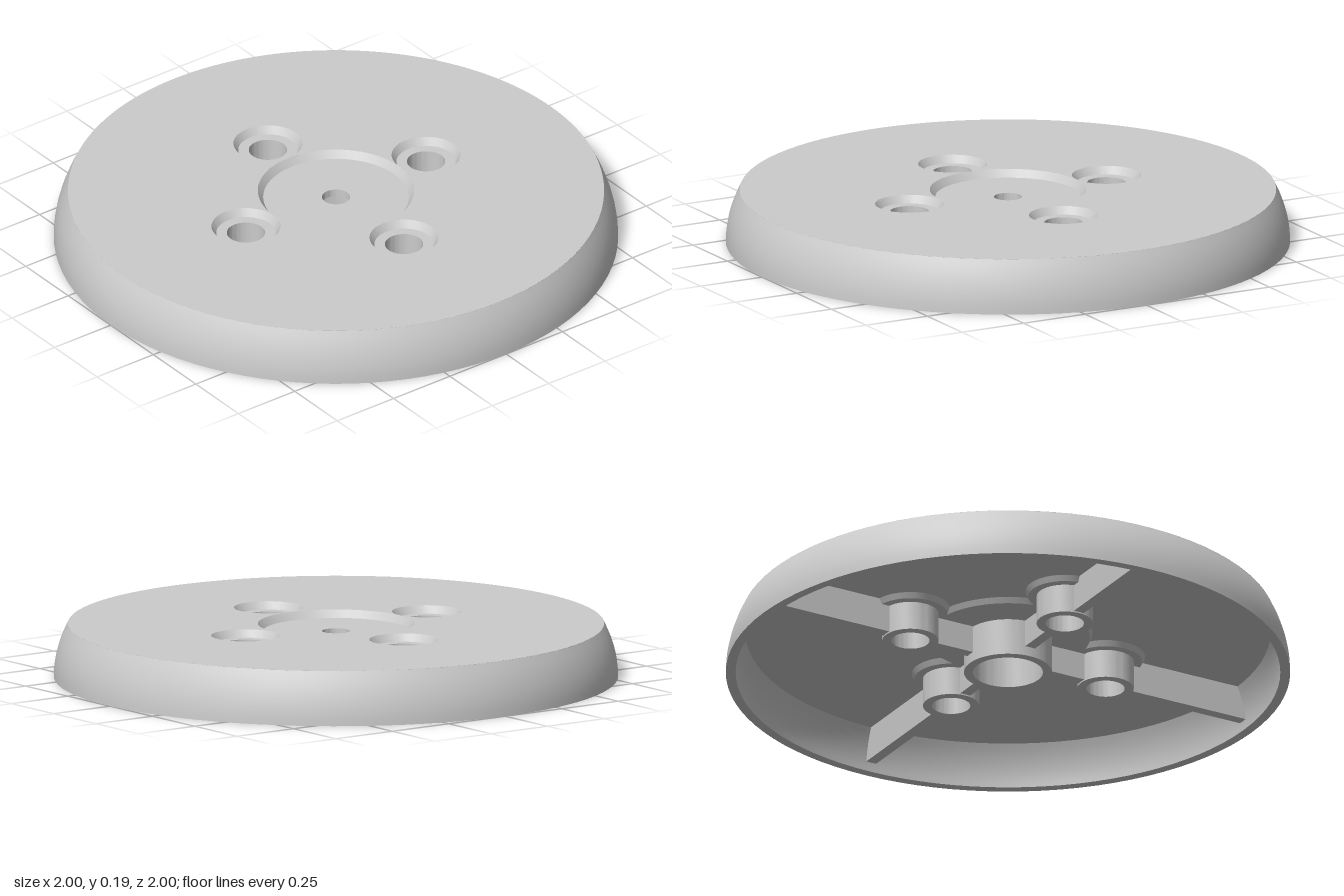
import * as THREE from 'three';
import { toCreasedNormals } from 'three/addons/utils/BufferGeometryUtils.js';

const TOP = 0.19, CEILING = 0.155, BOLT_R = 0.4;

export function createModel() {
  const model = new THREE.Group();
  model.name = 'hubDisc';
  const grey = new THREE.MeshStandardMaterial({ color: 0xcccccc });
  grey.name = 'light grey';

  const add = (name, geometry, parent = model) => {
    const mesh = new THREE.Mesh(geometry, grey);
    mesh.name = name;
    parent.add(mesh);
    return mesh;
  };
  const lathe = (points, segments) => toCreasedNormals(
    new THREE.LatheGeometry(points.map(([r, y]) => new THREE.Vector2(r, y)), segments), 0.4);

  // Curved outer wall: inside face downwards, bottom lip, outside face upwards
  const skirt = [];
  const steps = 8;
  for (let i = steps; i >= 0; i--) {
    const t = i / steps;
    skirt.push([0.965 - 0.035 * t * t, CEILING * t]);
  }
  for (let i = 0; i <= steps; i++) {
    const t = i / steps;
    skirt.push([1 - 0.05 * t * t, TOP * t]);
  }
  add('outerWall', lathe(skirt, 96));

  // Top plate pierced for the central recess and four bolt seats
  const disc = new THREE.Shape().absarc(0, 0, 0.95, 0, Math.PI * 2);
  const cut = (x, y, r) => disc.holes.push(new THREE.Path().absarc(x, y, r, 0, Math.PI * 2, true));
  cut(0, 0, 0.277);
  for (let i = 0; i < 4; i++) {
    const a = i * Math.PI / 2;
    cut(BOLT_R * Math.cos(a), BOLT_R * Math.sin(a), 0.122);
  }
  const plate = new THREE.ExtrudeGeometry(disc, { depth: TOP - CEILING, bevelEnabled: false, curveSegments: 96 });
  plate.rotateX(-Math.PI / 2).translate(0, CEILING, 0);
  add('topPlate', plate);

  // Central recess with its small hole and the hub tube underneath
  add('centralHub', lathe([
    [0.277, TOP], [0.258, 0.163], [0.05, 0.163], [0.05, 0.135], [0.124, 0.135],
    [0.124, 0], [0.156, 0], [0.156, 0.135], [0.29, 0.135], [0.3, CEILING],
  ], 96));

  // Bolt seats with tubular bosses, and the ribs that join them to hub and wall
  const bossGeometry = lathe([
    [0.122, TOP], [0.105, 0.163], [0.068, 0.163], [0.068, 0.03],
    [0.1, 0.03], [0.1, 0.135], [0.13, 0.135], [0.14, CEILING],
  ], 64);
  const ribGeometry = (corners) => new THREE.ExtrudeGeometry(
    new THREE.Shape(corners.map(([x, y]) => new THREE.Vector2(x, y))),
    { depth: 0.04, bevelEnabled: false }).translate(0, 0, -0.02);
  const innerRib = ribGeometry([[0.145, 0.035], [0.315, 0.035], [0.315, 0.158], [0.145, 0.158]]);
  const outerRib = ribGeometry([[0.485, 0.035], [0.975, 0.035], [0.94, 0.158], [0.485, 0.158]]);
  for (let i = 0; i < 4; i++) {
    const arm = new THREE.Group();
    arm.name = 'boltArm' + (i + 1);
    arm.rotation.y = i * Math.PI / 2;
    add('boltBoss', bossGeometry, arm).position.x = BOLT_R;
    add('innerRib', innerRib, arm);
    add('outerRib', outerRib, arm);
    model.add(arm);
  }
  return model;
}
